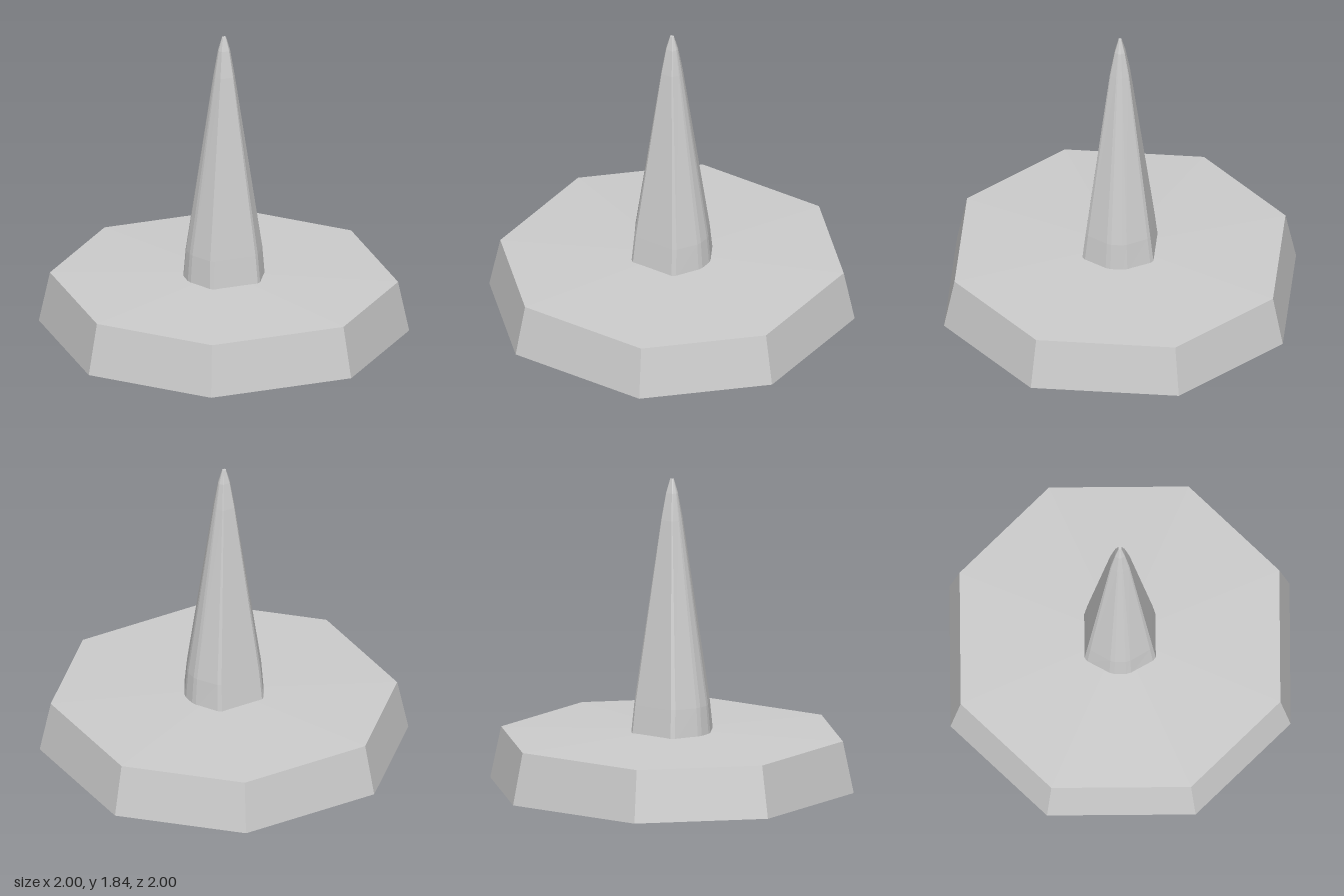
import * as THREE from 'three';

const material = new THREE.MeshStandardMaterial({ color: 0xcccccc, flatShading: true });

// Mirror a quarter outline (from the +x side towards the +z side) into a closed
// loop that runs counter-clockwise when seen from above.
function mirrorOutline(quarter) {
  const back = quarter.map(([x, z]) => [x, -z]);
  const half = [...[...quarter].reverse(), ...back];
  return [...half.filter(([x]) => x > 0), ...half.map(([x, z]) => [-x, -z])];
}

// Skin an outline through levels of [height, x scale, z scale] and cap both ends.
function loft(name, outline, levels) {
  const n = outline.length;
  const positions = [];
  const indices = [];
  for (const [y, sx, sz] of levels) {
    for (const [x, z] of outline) positions.push(x * sx, y, z * sz);
  }
  for (let k = 0; k < levels.length - 1; k++) {
    for (let i = 0; i < n; i++) {
      const j = (i + 1) % n;
      const a = k * n + i, b = k * n + j;
      indices.push(a, b, b + n, a, b + n, a + n);
    }
  }
  const last = (levels.length - 1) * n;
  for (let i = 1; i < n - 1; i++) {
    indices.push(0, i + 1, i);
    indices.push(last, last + i, last + i + 1);
  }
  const indexed = new THREE.BufferGeometry();
  indexed.setAttribute('position', new THREE.Float32BufferAttribute(positions, 3));
  indexed.setIndex(indices);
  const geometry = indexed.toNonIndexed();
  geometry.computeVertexNormals();
  const mesh = new THREE.Mesh(geometry, material);
  mesh.name = name;
  return mesh;
}

export function createModel() {
  const model = new THREE.Group();
  model.name = 'spikeOnBase';

  // Octagonal plinth with sloped sides and a slightly raised centre
  const octagon = mirrorOutline([[1, 0.437], [0.437, 1]]);
  model.add(loft('base', octagon, [
    [0, 1, 1],
    [0.308, 0.94, 0.94],
    [0.333, 0.2, 0.2],
  ]));

  // Tapering six-sided spike with softened corners
  const hexagon = mirrorOutline([[0.24, 0.035], [0.232, 0.065], [0.158, 0.195], [0.137, 0.212]]);
  model.add(loft('spike', hexagon, [
    [0.31, 1, 1],
    [0.5, 0.94, 0.9],
    [1.6, 0.26, 0.27],
    [1.76, 0.15, 0.14],
    [1.843, 0.05, 0.04],
  ]));

  return model;
}
